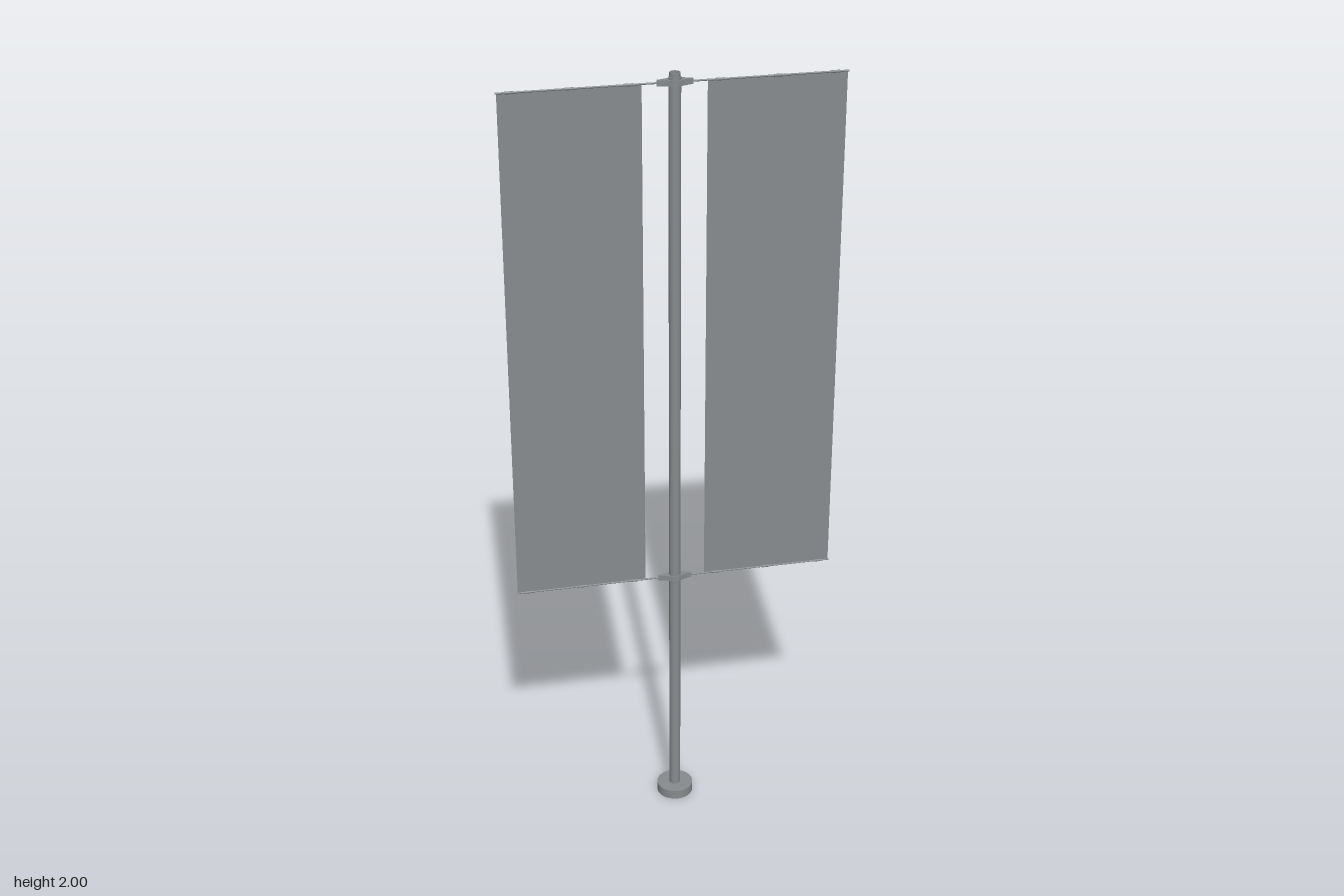
import * as THREE from 'three';

const steel = new THREE.MeshStandardMaterial({ color: 0x868b8d });
steel.name = 'grey steel';
const cloth = new THREE.MeshStandardMaterial({ color: 0x868b8d, side: THREE.DoubleSide });
cloth.name = 'grey cloth';

export function createModel() {
  const model = new THREE.Group();
  model.name = 'bannerPole';

  const add = (name, geometry, material, x = 0, y = 0, z = 0) => {
    const mesh = new THREE.Mesh(geometry, material);
    mesh.name = name;
    mesh.position.set(x, y, z);
    model.add(mesh);
    return mesh;
  };

  // Flat ring profile swept by extrusion, so every edge stays crisp
  const upright = (shape, height, curveSegments) => {
    const g = new THREE.ExtrudeGeometry(shape, { depth: height, bevelEnabled: false, curveSegments });
    return g.rotateX(-Math.PI / 2);
  };
  const ring = (outer, inner) => {
    const shape = new THREE.Shape().absarc(0, 0, outer, 0, Math.PI * 2, false);
    shape.holes.push(new THREE.Path().absarc(0, 0, inner, 0, Math.PI * 2, true));
    return shape;
  };

  const bore = 0.01;
  const poleRadius = 0.0145;

  // Base disc and hollow pole, open right through
  add('base', upright(ring(0.047, bore), 0.025, 32), steel);
  add('pole', upright(ring(poleRadius, bore), 1.985, 24), steel, 0, 0.005);

  // Slightly narrower rim at the tip of the pole
  add('tipRim', upright(ring(0.0125, bore), 0.01, 24), steel, 0, 1.99);

  // Collar outline: round in the middle, drawn out to a point on each side
  const collar = new THREE.Shape();
  collar.moveTo(0.042, 0.002);
  collar.quadraticCurveTo(0.022, 0.006, 0.011, 0.013);
  collar.quadraticCurveTo(0, 0.019, -0.011, 0.013);
  collar.quadraticCurveTo(-0.022, 0.006, -0.042, 0.002);
  collar.lineTo(-0.042, -0.002);
  collar.quadraticCurveTo(-0.022, -0.006, -0.011, -0.013);
  collar.quadraticCurveTo(0, -0.019, 0.011, -0.013);
  collar.quadraticCurveTo(0.022, -0.006, 0.042, -0.002);
  collar.closePath();
  collar.holes.push(new THREE.Path().absarc(0, 0, 0.012, 0, Math.PI * 2, true));

  const rodHeights = { lower: 0.675, upper: 1.977 };
  for (const [level, y] of Object.entries(rodHeights)) {
    add(`${level}Collar`, upright(collar, 0.014, 10), steel, 0, y - 0.007);

    for (const [side, s] of [['left', 1], ['right', -1]]) {
      // Arm reaching from the collar to the banner's outer edge
      const rod = new THREE.CylinderGeometry(0.0022, 0.0022, 0.393, 10).rotateZ(Math.PI / 2);
      add(`${side}${level}Rod`, rod, steel, s * 0.2105, y);

      // Small clips holding the cloth to the rod
      for (const x of [0.105, 0.24, 0.375]) {
        const clip = new THREE.CylinderGeometry(0.0032, 0.0032, 0.02, 10).rotateZ(Math.PI / 2);
        add(`${side}${level}Clip`, clip, steel, s * x, y);
      }
    }
  }

  // Cloth banners, one on each side of the pole
  const drop = rodHeights.upper - rodHeights.lower;
  for (const [side, s] of [['left', 1], ['right', -1]]) {
    add(`${side}Banner`, new THREE.PlaneGeometry(0.328, drop), cloth,
      s * 0.24, rodHeights.lower + drop / 2);
  }

  return model;
}
